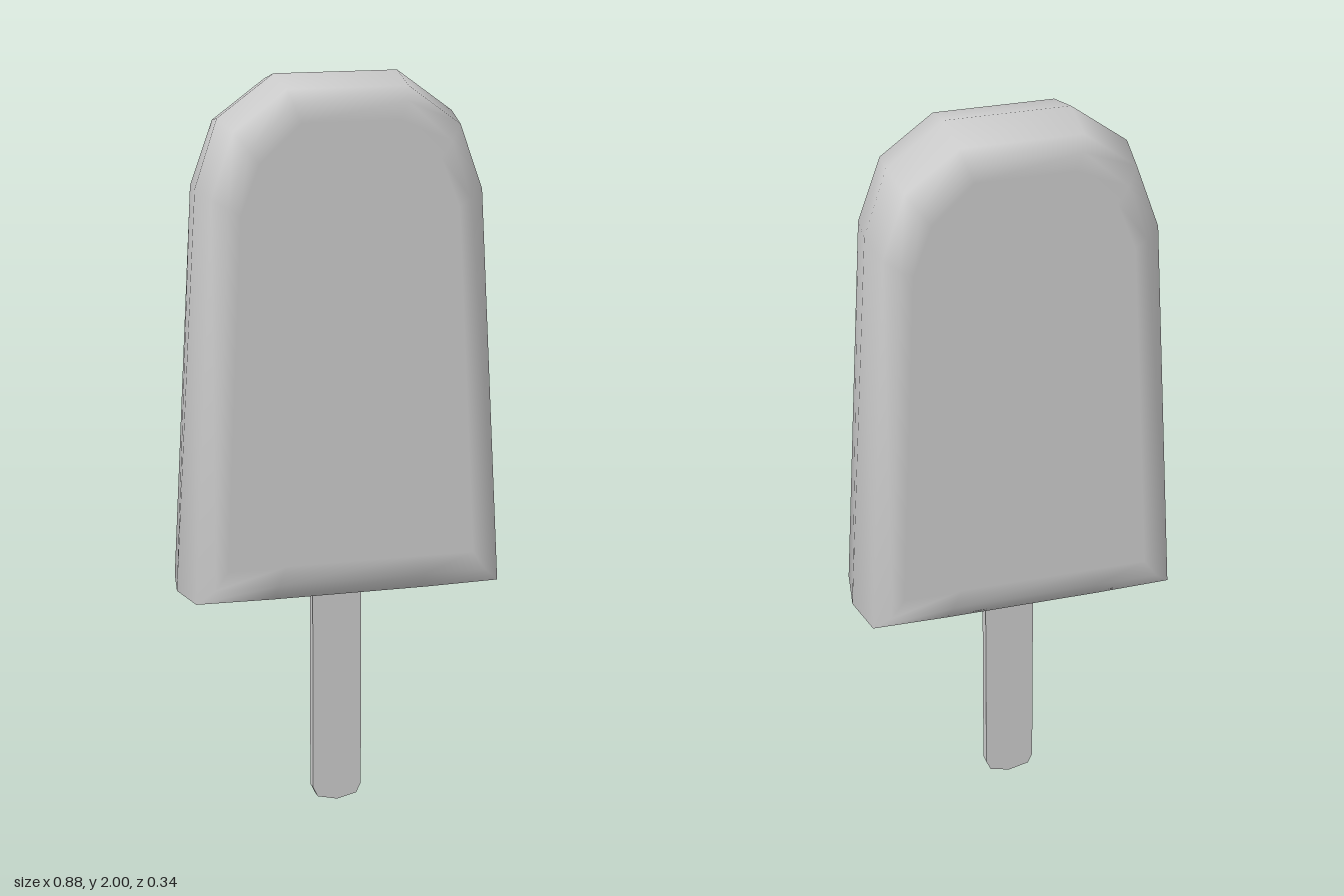
import * as THREE from 'three';

// Right half of each cross-section, bottom to top, from mid-plane out to the face
const sections = [
  { f: 0, half: [[0.22, 0.62], [0.438, 0.635], [0.375, 1.71], [0.315, 1.89], [0.165, 2.0]] },
  { f: 0.81, half: [[0.21, 0.634], [0.415, 0.637], [0.36, 1.7], [0.3, 1.87], [0.16, 1.973]] },
  { f: 1, half: [[0.2, 0.68], [0.37, 0.68], [0.322, 1.68], [0.27, 1.83], [0.15, 1.938]] },
  { f: 1.003, half: [[0.18, 0.73], [0.335, 0.73], [0.29, 1.66], [0.24, 1.79], [0.13, 1.89]] },
];

// The bar gets thinner towards the top
const depthAt = (y) => 0.168 - 0.0135 * (y - 0.65);

function barGeometry() {
  const rings = [];
  for (let i = sections.length - 1; i > 0; i--) rings.push([sections[i], -1]);
  for (const s of sections) rings.push([s, 1]);

  const pos = [], idx = [];
  for (const [{ f, half }, side] of rings) {
    const loop = [...half, ...half.map(([x, y]) => [-x, y]).reverse()];
    for (const [x, y] of loop) pos.push(x, y, side * f * depthAt(y));
  }
  const n = sections[0].half.length * 2;
  const quad = (a, b, c, d) => idx.push(a, b, c, a, c, d);

  // Skin between neighbouring rings
  for (let i = 0; i < rings.length - 1; i++) {
    for (let j = 0; j < n; j++) {
      const k = (j + 1) % n;
      quad(i * n + j, i * n + k, (i + 1) * n + k, (i + 1) * n + j);
    }
  }
  // Front and back faces, bridged from side to side
  const last = (rings.length - 1) * n;
  for (let j = 0; j < n / 2 - 1; j++) {
    quad(last + j, last + j + 1, last + n - 2 - j, last + n - 1 - j);
    quad(n - 1 - j, n - 2 - j, j + 1, j);
  }
  const g = new THREE.BufferGeometry();
  g.setAttribute('position', new THREE.Float32BufferAttribute(pos, 3));
  g.setIndex(idx);
  g.computeVertexNormals();
  return g;
}

function stickGeometry() {
  // Flat stick with a clipped, slightly pointed lower end
  const right = [[0.055, 0.013], [0.068, 0.04], [0.068, 0.7]];
  const left = right.map(([x, y]) => [-x, y]).reverse();
  const outline = [[0, 0], ...right, ...left].map(([x, y]) => new THREE.Vector2(x, y));
  const g = new THREE.ExtrudeGeometry(new THREE.Shape(outline), { depth: 0.03, bevelEnabled: false });
  return g.translate(0, 0, -0.015);
}

export function createModel() {
  const group = new THREE.Group();
  group.name = 'icePop';

  const bar = new THREE.Mesh(barGeometry(), new THREE.MeshStandardMaterial({ color: 0xcccccc }));
  bar.name = 'iceBar';

  const stick = new THREE.Mesh(
    stickGeometry(),
    new THREE.MeshStandardMaterial({ color: 0xcccccc, flatShading: true })
  );
  stick.name = 'stick';

  group.add(bar, stick);
  return group;
}
